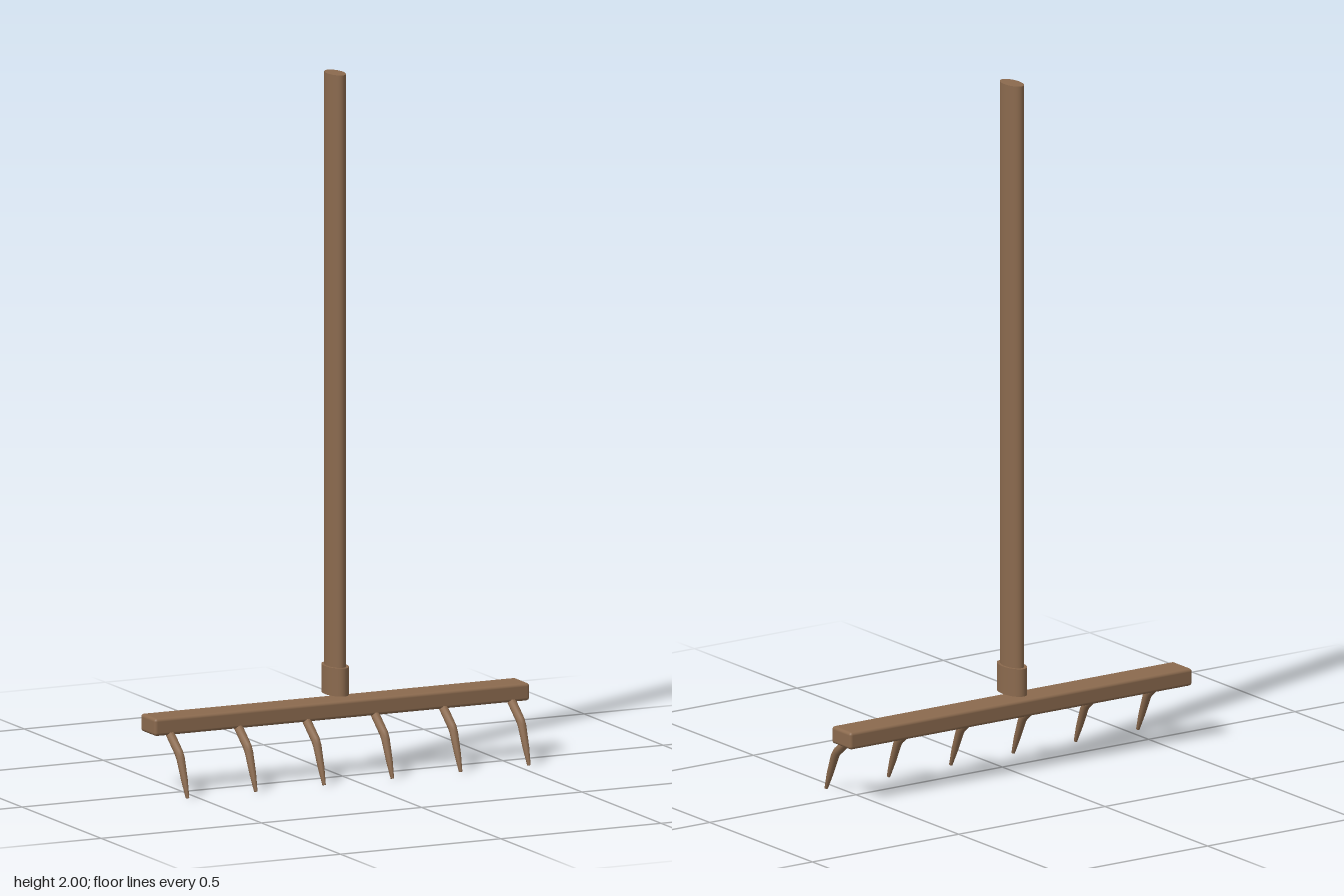
import * as THREE from 'three';
import { RoundedBoxGeometry } from 'three/addons/geometries/RoundedBoxGeometry.js';

const wood = new THREE.MeshStandardMaterial({ color: 0x8b6a4e });
wood.name = 'brownWood';

const CENTRE_Z = -0.047;

function add(group, name, geometry, x, y, z) {
  const mesh = new THREE.Mesh(geometry, wood);
  mesh.name = name;
  mesh.position.set(x, y, z);
  group.add(mesh);
  return mesh;
}

// Upright cylinder with an oval cross-section
function ovalRod(rx, rz, height) {
  return new THREE.CylinderGeometry(1, 1, height, 32).scale(rx, 1, rz);
}

// Bent, tapering prong: round sections swept along a path in the YZ plane
function tineGeometry() {
  // each section: y, z, radius
  const sections = [
    [0.178, -0.025, 0.0125], [0.122, 0.045, 0.0125], [0.107, 0.056, 0.012],
    [0.05, 0.08, 0.0095], [0.003, 0.099, 0.005],
  ];
  const sides = 10, positions = [], index = [];
  sections.forEach(([y, z, r], i) => {
    const a = sections[Math.max(i - 1, 0)];
    const b = sections[Math.min(i + 1, sections.length - 1)];
    const len = Math.hypot(b[0] - a[0], b[1] - a[1]);
    const ty = (b[0] - a[0]) / len, tz = (b[1] - a[1]) / len;
    for (let j = 0; j < sides; j++) {
      const t = (j / sides) * Math.PI * 2;
      const s = r * Math.sin(t);
      positions.push(r * Math.cos(t), y + s * tz, z - s * ty);
    }
  });
  for (let i = 0; i < sections.length - 1; i++) {
    for (let j = 0; j < sides; j++) {
      const a = i * sides + j, b = i * sides + (j + 1) % sides;
      index.push(a, b, a + sides, b, b + sides, a + sides);
    }
  }
  // end caps
  const last = (sections.length - 1) * sides;
  for (let j = 1; j < sides - 1; j++) {
    index.push(0, j + 1, j, last, last + j, last + j + 1);
  }
  const geometry = new THREE.BufferGeometry();
  geometry.setAttribute('position', new THREE.Float32BufferAttribute(positions, 3));
  geometry.setIndex(index);
  geometry.computeVertexNormals();
  return geometry;
}

export function createModel() {
  const rake = new THREE.Group();
  rake.name = 'rake';

  // Handle and the collar around its foot
  add(rake, 'handle', ovalRod(0.025, 0.047, 1.75), 0, 1.125, CENTRE_Z);
  add(rake, 'collar', ovalRod(0.032, 0.058, 0.08), 0, 0.27, CENTRE_Z);

  // Crossbar with softened edges
  add(rake, 'crossbar', new RoundedBoxGeometry(1.17, 0.05, 0.094, 3, 0.009), 0, 0.19, CENTRE_Z);

  // Six evenly spaced tines
  const tine = tineGeometry();
  const tines = new THREE.Group();
  tines.name = 'tines';
  for (let i = 0; i < 6; i++) add(tines, 'tine', tine, (i - 2.5) * 0.213, 0, 0);
  rake.add(tines);

  return rake;
}
